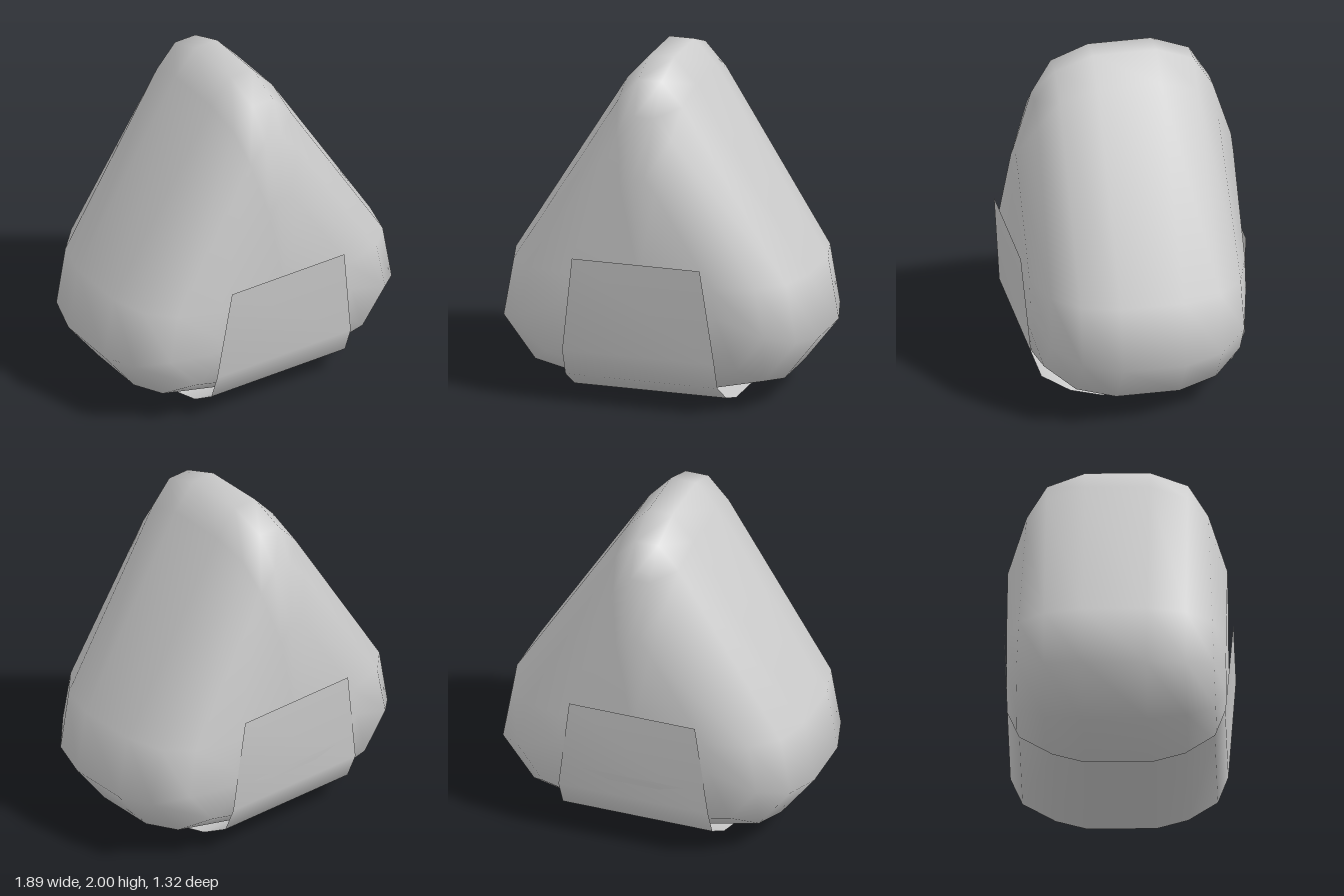
import * as THREE from 'three';

function buildMesh(name, positions, indices, side) {
  const geometry = new THREE.BufferGeometry();
  geometry.setAttribute('position', new THREE.Float32BufferAttribute(positions, 3));
  geometry.setIndex(indices);
  geometry.computeVertexNormals();
  const mesh = new THREE.Mesh(geometry, new THREE.MeshStandardMaterial({ color: 0xcccccc, side }));
  mesh.name = name;
  return mesh;
}

// Rounded triangular body: one outline, shrunk towards the front and back faces
function createBody() {
  const half = [[0.31, 0.035], [0.74, 0.135], [0.945, 0.4], [0.88, 0.77], [0.21, 1.85], [0.075, 2]];
  const outline = [...half, ...half.map(([x, y]) => [-x, y]).reverse()];
  const centreY = 0.8, shiftZ = -0.015, n = outline.length;
  // scale of the outline, depth, and how much the depth drops with height
  const steps = [[1, 0.185, 0], [0.932, 0.41, 0.003], [0.775, 0.583, 0.036], [0.49, 0.63, 0]];
  const rings = [
    ...steps.map((s) => [...s, -1]).reverse(),
    ...steps.map((s) => [...s, 1]),
  ];
  const positions = [], indices = [];
  for (const [scale, depth, drop, sign] of rings) {
    for (const [x, y] of outline) {
      const py = centreY + (y - centreY) * scale;
      positions.push(x * scale, py, shiftZ + sign * (depth - drop * py));
    }
  }
  for (let i = 0; i < rings.length - 1; i++) {
    for (let j = 0; j < n; j++) {
      const a = i * n + j, b = i * n + (j + 1) % n;
      indices.push(a, b, b + n, a, b + n, a + n);
    }
  }
  // flat front and back faces
  const back = positions.length / 3, front = back + 1, last = (rings.length - 1) * n;
  positions.push(0, centreY, shiftZ - 0.63, 0, centreY, shiftZ + 0.63);
  for (let j = 0; j < n; j++) {
    const k = (j + 1) % n;
    indices.push(back, k, j, front, last + j, last + k);
  }
  return buildMesh('body', positions, indices, THREE.FrontSide);
}

// Thin wrap running from the front, under the base and up the back
function createWrap() {
  const path = [ // half width, y, z
    [0.385, 0.89, 0.655], [0.458, 0.32, 0.61], [0.458, 0.16, 0.55], [0.458, 0.05, 0.38], [0.458, 0, 0.2],
    [0.458, 0, -0.2], [0.458, 0.05, -0.38], [0.458, 0.16, -0.57], [0.458, 0.32, -0.64], [0.385, 0.89, -0.66],
  ];
  const positions = [], indices = [];
  path.forEach(([w, y, z], i) => {
    positions.push(-w, y, z, w, y, z);
    if (i < path.length - 1) {
      const a = i * 2;
      indices.push(a, a + 2, a + 3, a, a + 3, a + 1);
    }
  });
  return buildMesh('wrap', positions, indices, THREE.DoubleSide);
}

export function createModel() {
  const group = new THREE.Group();
  group.name = 'riceBall';
  group.add(createBody(), createWrap());
  return group;
}
